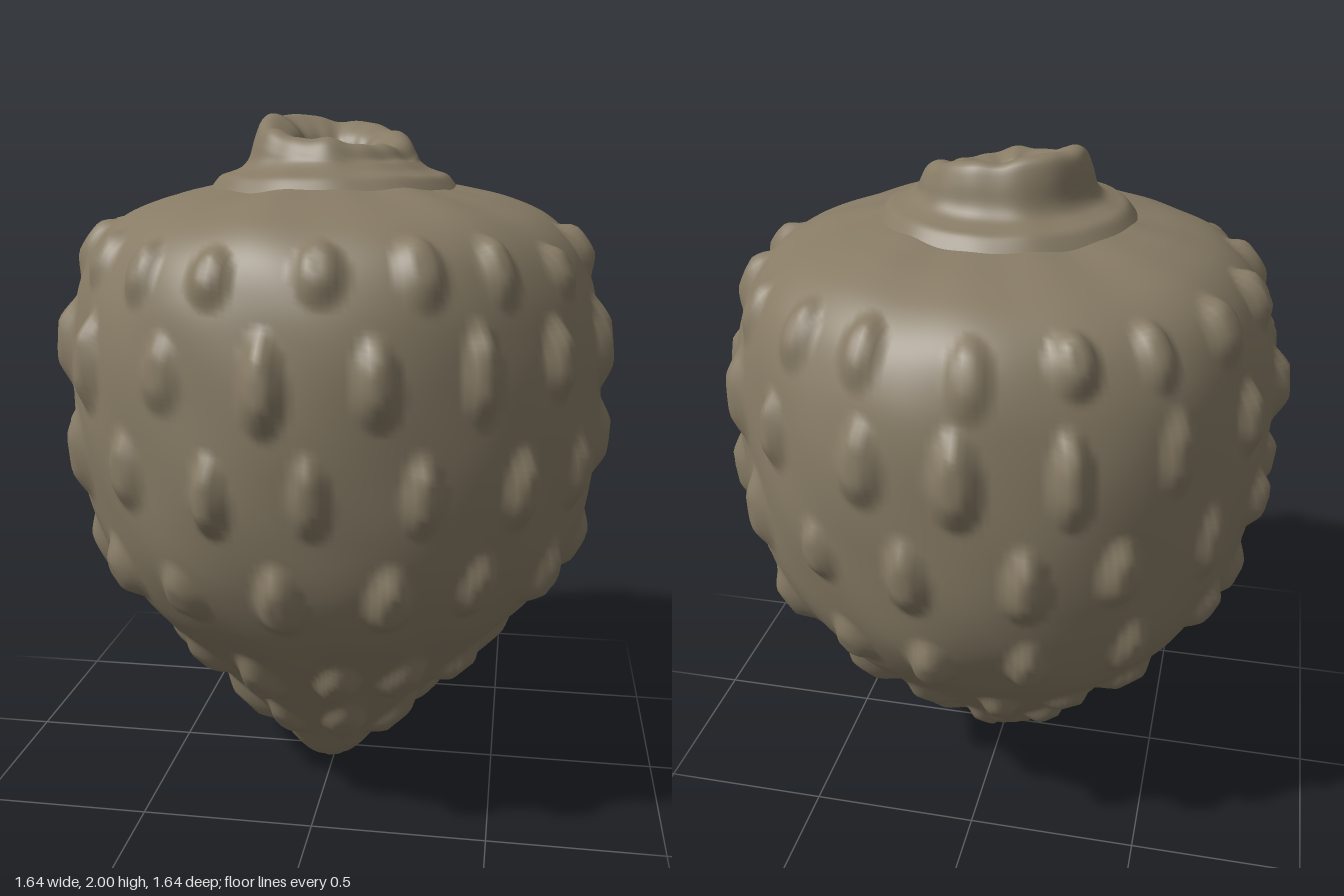
import * as THREE from 'three';
import { mergeVertices } from 'three/addons/utils/BufferGeometryUtils.js';

const clay = new THREE.MeshStandardMaterial({ color: 0x877b65 });
const TAU = Math.PI * 2;

// Small seeded jitter in the range -1..1
function jitter(n) {
  const s = Math.sin(n * 127.1 + 11.7) * 43758.5453;
  return 2 * (s - Math.floor(s)) - 1;
}

// Rows of knobs: height, count, first angle (degrees from the front), half width, half height, relief
const rows = [
  [1.62, 18, 4, 0.060, 0.105, 0.032],
  [1.37, 17, 15, 0.060, 0.130, 0.035],
  [1.07, 17, 4, 0.062, 0.120, 0.036],
  [0.76, 16, -4, 0.066, 0.115, 0.036],
  [0.45, 14, 8, 0.070, 0.125, 0.036],
  [0.23, 9, 16, 0.068, 0.120, 0.033],
];
const knobs = rows.flatMap(([y, count, start, w, h, relief], row) =>
  Array.from({ length: count }, (_, i) => {
    const k = row * 31 + i;
    return {
      y: y + 0.022 * jitter(k),
      angle: THREE.MathUtils.degToRad(start) + (i / count) * TAU + 0.03 * jitter(k + 200),
      w: w * (1 + 0.15 * jitter(k + 400)),
      h: h * (1 + 0.15 * jitter(k + 600)),
      relief: relief * (1 + 0.25 * jitter(k + 800)),
    };
  }));

// Raised teardrop knobs, broader toward the bottom; steep is 1 on an upright wall, 0 on a level one
function knobRelief(angle, y, radius, steep) {
  let sum = 0;
  for (const k of knobs) {
    const v = (y - k.y) / (k.h * steep);
    if (Math.abs(v) >= 1) continue;
    const turn = Math.atan2(Math.sin(angle - k.angle), Math.cos(angle - k.angle));
    const u = (turn * radius) / (k.w * (1 - 0.2 * v));
    const d = u * u + v * v;
    if (d < 1) sum = Math.max(sum, k.relief * Math.min(1, 1.3 * (1 - d) ** 1.3));
  }
  return sum;
}

// Gentle hand-worked unevenness
function wobble(a, y) {
  return 0.004 * Math.sin(3 * a + 4 * y) + 0.003 * Math.sin(7 * a - 9 * y)
    + 0.002 * Math.sin(13 * a + 17 * y);
}

// Turned surface through the profile, then moved point by point
function turned(name, profile, steps, segments, move) {
  const curve = new THREE.SplineCurve(profile.map(([r, y]) => new THREE.Vector2(r, y)));
  const points = curve.getSpacedPoints(steps);
  points.forEach((p) => { p.x = Math.max(0, p.x); });
  let geometry = new THREE.LatheGeometry(points, segments);
  const pos = geometry.attributes.position;
  const nor = geometry.attributes.normal;
  const p = new THREE.Vector3();
  const n = new THREE.Vector3();
  for (let i = 0; i < pos.count; i++) {
    p.fromBufferAttribute(pos, i);
    n.fromBufferAttribute(nor, i);
    move(p, n, Math.atan2(p.x, p.z), Math.hypot(p.x, p.z));
    pos.setXYZ(i, p.x, p.y, p.z);
  }
  // Weld the seam so the shading runs round smoothly
  geometry.deleteAttribute('uv');
  geometry.deleteAttribute('normal');
  geometry = mergeVertices(geometry, 1e-5);
  geometry.computeVertexNormals();
  const mesh = new THREE.Mesh(geometry, clay);
  mesh.name = name;
  return mesh;
}

export function createModel() {
  const group = new THREE.Group();
  group.name = 'knobbedVessel';

  // Pointed body with rows of knobs
  const bodyProfile = [
    [0, 0.005], [0.06, 0.015], [0.115, 0.06], [0.175, 0.13], [0.25, 0.21], [0.335, 0.30],
    [0.435, 0.41], [0.54, 0.52], [0.64, 0.64], [0.72, 0.79], [0.76, 0.95], [0.778, 1.12],
    [0.78, 1.28], [0.769, 1.42], [0.742, 1.54], [0.69, 1.645], [0.61, 1.717],
    [0.50, 1.763], [0.40, 1.787], [0.33, 1.80], [0.28, 1.805],
  ];
  group.add(turned('body', bodyProfile, 160, 256, (p, n, a, r) => {
    const y = p.y;
    const steep = Math.max(0.05, Math.hypot(n.x, n.z));
    const fade = Math.min(1, r / 0.2);
    p.addScaledVector(n, fade * (wobble(a, y) + knobRelief(a, y, r, steep)));
    // The tip sits slightly off centre
    const lean = Math.max(0, 1 - y) ** 3;
    p.x -= 0.02 * lean;
    p.z += 0.035 * lean;
  }));

  // Low stepped collar and worn, tilted mouth with a narrow hollow
  const neckProfile = [
    [0.37, 1.775], [0.35, 1.803], [0.328, 1.828], [0.30, 1.838], [0.27, 1.85], [0.248, 1.872],
    [0.235, 1.908], [0.215, 1.944], [0.185, 1.955], [0.145, 1.94], [0.11, 1.915],
    [0.093, 1.875], [0.075, 1.84], [0.04, 1.828], [0, 1.825],
  ];
  group.add(turned('neck', neckProfile, 60, 128, (p, n, a, r) => {
    const lift = THREE.MathUtils.smoothstep(p.y, 1.85, 1.94);
    const chips = 0.005 * Math.sin(3 * a + 0.8) + 0.003 * Math.sin(7 * a + 1) + 0.002 * Math.sin(13 * a);
    const out = 1 + lift * (0.02 * Math.sin(3 * a + 2) + 0.012 * Math.sin(5 * a));
    p.y += lift * (-0.15 * p.x - 0.17 * p.z + chips);
    p.x = p.x * out - 0.01;
    p.z *= out;
    p.addScaledVector(n, Math.min(1, r / 0.1) * 0.5 * wobble(a, p.y));
  }));

  return group;
}
